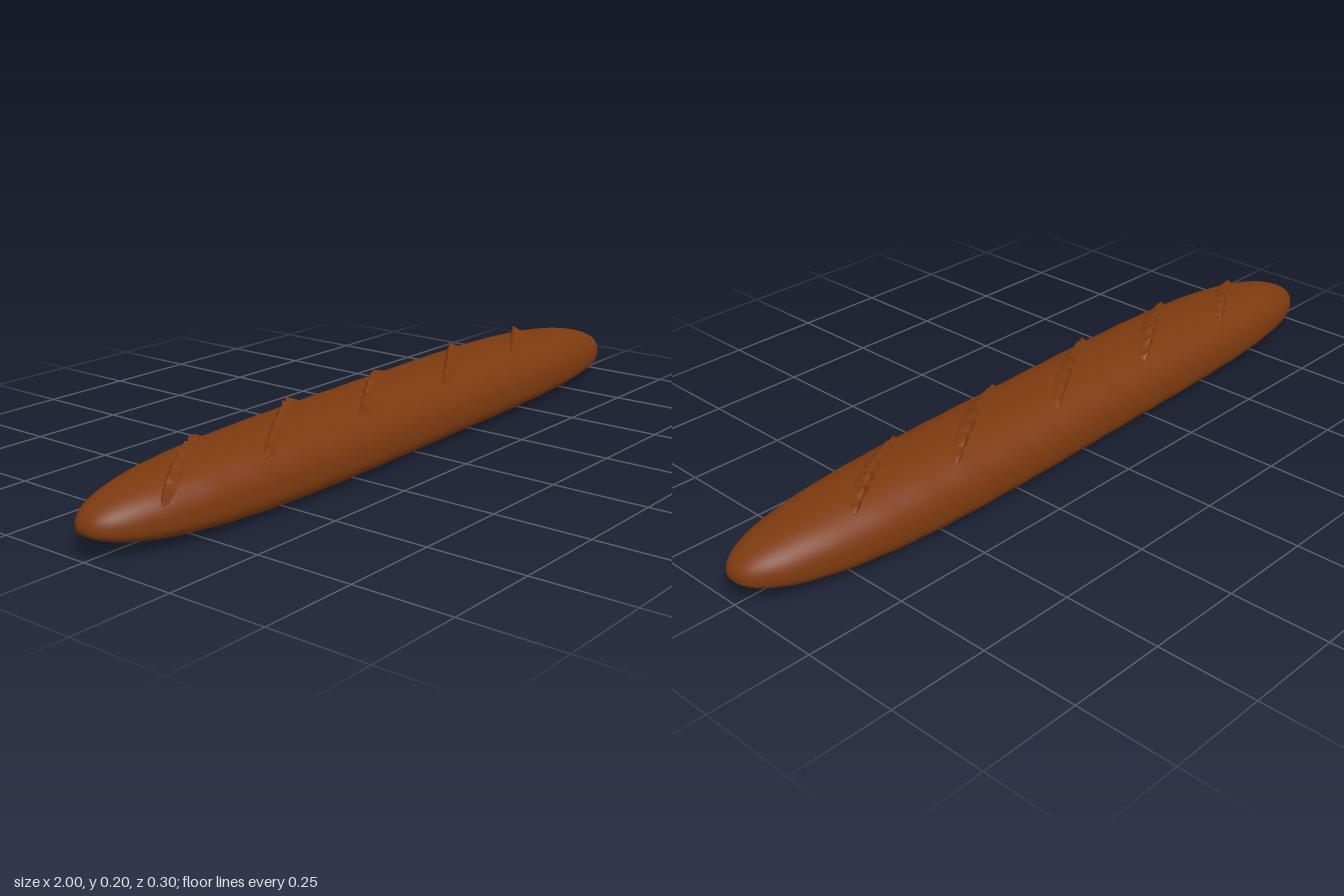
import * as THREE from 'three';
import { toCreasedNormals } from 'three/addons/utils/BufferGeometryUtils.js';

const CENTRE_Y = 0.07, HALF_WIDTH = 0.142, RISE = 0.108, DROP = 0.069;
const TOP_POWER = 2.2, BASE_POWER = 3;

// Loaf outline: taper towards the tips and a gentle sideways sway
const taper = x => Math.pow(Math.max(0, 1 - x ** 4), 0.45);
const sway = x => -0.03 * x * (1 - x * x);
const signedPow = (v, p) => Math.sign(v) * Math.pow(Math.abs(v), p);

// Height of the crust above a point in plan
function crustY(x, z) {
  const s = Math.max(taper(x), 0.01);
  const w = Math.min(1, Math.abs(z - sway(x)) / (HALF_WIDTH * s));
  return CENTRE_Y + RISE * s * Math.pow(1 - w ** TOP_POWER, 1 / TOP_POWER);
}

// Skin a grid of points; wrap closes each row into a ring
function skin(rows, wrap) {
  const n = rows[0].length, index = [];
  for (let i = 0; i < rows.length - 1; i++) {
    for (let j = 0; j < (wrap ? n : n - 1); j++) {
      const k = (j + 1) % n;
      const a = i * n + j, b = i * n + k, c = a + n, d = b + n;
      index.push(a, c, b, b, c, d);
    }
  }
  const geometry = new THREE.BufferGeometry();
  geometry.setAttribute('position', new THREE.Float32BufferAttribute(rows.flat(2), 3));
  geometry.setIndex(index);
  geometry.computeVertexNormals();
  return geometry;
}

// Domed loaf with a flattened base
function loafGeometry() {
  const rows = [], lengthSteps = 120, ringSteps = 56;
  for (let i = 0; i <= lengthSteps; i++) {
    const x = Math.sin((i / lengthSteps - 0.5) * Math.PI);
    const s = taper(x), ring = [];
    for (let j = 0; j < ringSteps; j++) {
      const a = (j / ringSteps) * Math.PI * 2;
      const up = Math.sin(a) >= 0, power = 2 / (up ? TOP_POWER : BASE_POWER);
      const ripple = 1 + 0.008 * Math.sin(x * 50 + a * 2) * s;
      ring.push([
        x,
        CENTRE_Y + (up ? RISE : DROP) * s * signedPow(Math.sin(a), power),
        sway(x) + HALF_WIDTH * s * ripple * signedPow(Math.cos(a), power),
      ]);
    }
    rows.push(ring);
  }
  return skin(rows, true);
}

// Torn crust along a diagonal cut: a soft ramp, a jagged crest, a steep back
function tornCrustGeometry(centre, halfX, halfZ, seed) {
  const rows = [], steps = 28;
  const len = Math.hypot(halfX, halfZ);
  const acrossX = halfZ / len, acrossZ = halfX / len;
  for (let i = 0; i <= steps; i++) {
    const t = (i / steps) * 2 - 1;
    const fade = Math.pow(1 - t * t, 0.4);
    const tooth = [0.15, 0.65, 1, 0.55][i % 4] * (0.8 + 0.2 * Math.sin(i * 1.7 + seed * 2.3));
    const place = (offset, lift) => {
      const x = centre + t * halfX + acrossX * offset;
      const z = sway(centre) - t * halfZ + acrossZ * offset;
      const lean = (z - sway(x)) / HALF_WIDTH;
      return [x, crustY(x, z) + lift, z + lift * lean];
    };
    rows.push([
      place(0.04 * fade, -0.003),
      place(0.018 * fade, 0.005 * fade),
      place(0, (0.004 + 0.021 * tooth) * fade - 0.002),
      place(-0.01 * fade, -0.004),
    ]);
  }
  return toCreasedNormals(skin(rows, false), 0.7);
}

export function createModel() {
  const group = new THREE.Group();
  group.name = 'baguette';
  const crust = new THREE.MeshStandardMaterial({ color: 0x7d3a0f });
  crust.name = 'baked crust brown';

  const loaf = new THREE.Mesh(loafGeometry(), crust);
  loaf.name = 'loaf';
  group.add(loaf);

  // Five diagonal cuts along the top: centre x, half length in x and z
  const cuts = [
    [-0.73, 0.14, 0.085],
    [-0.41, 0.17, 0.105],
    [-0.07, 0.17, 0.105],
    [0.28, 0.17, 0.105],
    [0.6, 0.14, 0.085],
  ];
  cuts.forEach(([centre, halfX, halfZ], i) => {
    const flap = new THREE.Mesh(tornCrustGeometry(centre, halfX, halfZ, i), crust);
    flap.name = 'tornCrust' + (i + 1);
    group.add(flap);
  });
  return group;
}
